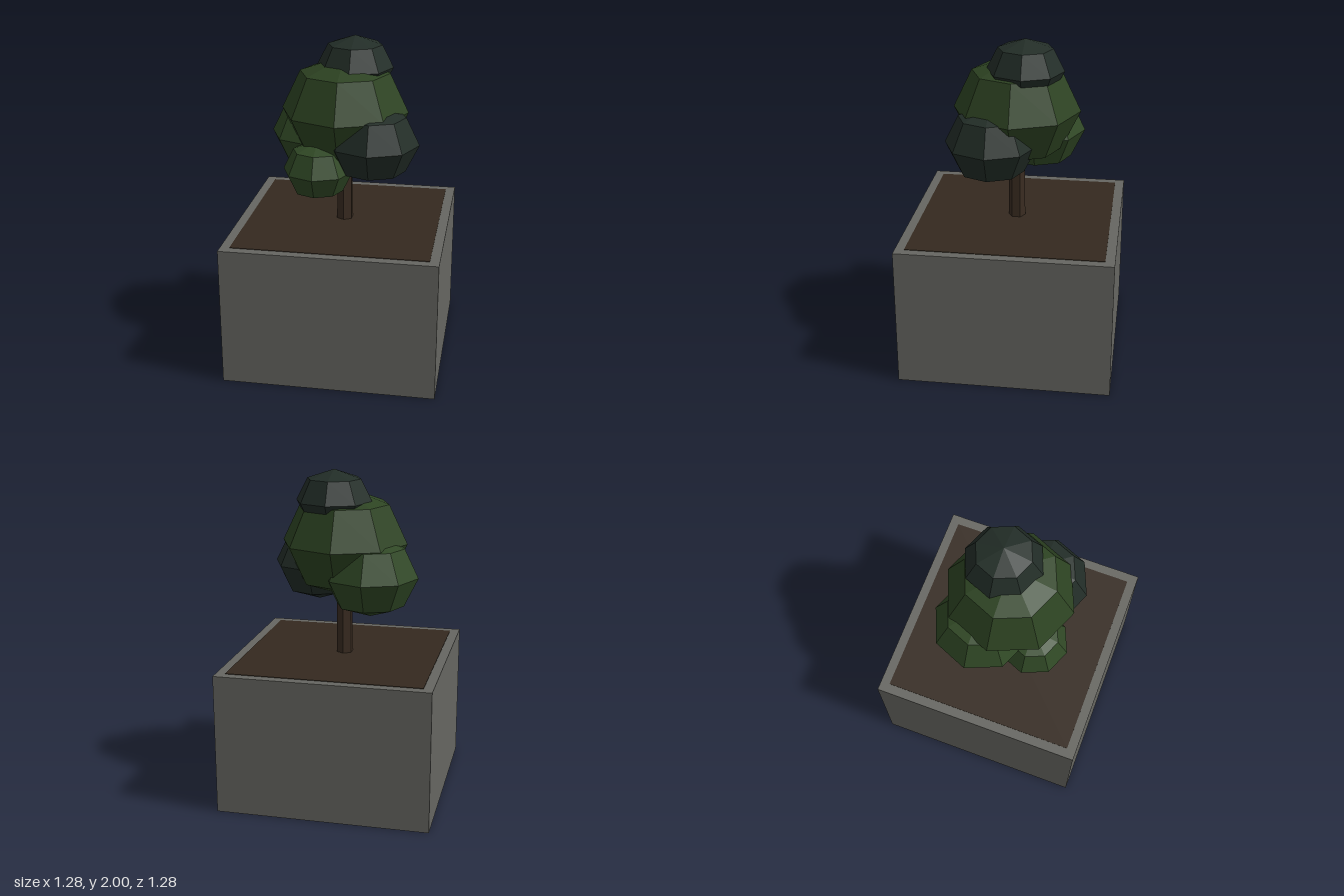
import * as THREE from 'three';

export function createModel() {
  const group = new THREE.Group();
  const mat = (name, color) => {
    const m = new THREE.MeshStandardMaterial({ color, flatShading: true });
    m.name = name;
    return m;
  };
  const concrete = mat('concrete', 0x666661);
  const earth = mat('soil', 0x34291f);
  const bark = mat('bark', 0x3a2c21);
  const leaf = mat('leafGreen', 0x2d4322);
  const lightLeaf = mat('lightLeafGreen', 0x304825);
  const darkLeaf = mat('darkLeafGreen', 0x222d27);

  const add = (name, geometry, material, x, y, z) => {
    const mesh = new THREE.Mesh(geometry, material);
    mesh.name = name;
    mesh.position.set(x, y, z);
    group.add(mesh);
    return mesh;
  };

  // Square planter with a thin soil layer on top
  const top = 0.858;
  add('planter', new THREE.BoxGeometry(1.284, top, 1.284), concrete, 0, top / 2, 0);
  add('soil', new THREE.BoxGeometry(1.17, 0.006, 1.17), earth, 0, top, 0);

  // Six-sided trunk reaching into the crown
  add('trunk', new THREE.CylinderGeometry(0.048, 0.052, 0.6, 6), bark, 0, top + 0.3, 0);

  // Faceted, slightly flattened foliage: name, material, centre, radius, half height
  const clumps = [
    ['mainCrown', leaf, 0, 1.555, 0, 0.385, 0.332],
    ['topClump', darkLeaf, 0.052, 1.812, -0.057, 0.232, 0.188],
    ['leftClump', darkLeaf, 0.19, 1.395, 0.128, 0.278, 0.235],
    ['rightClump', lightLeaf, -0.182, 1.375, -0.11, 0.29, 0.247],
    ['frontClump', lightLeaf, -0.13, 1.232, 0.193, 0.211, 0.178],
  ];
  for (const [name, material, x, y, z, radius, halfHeight] of clumps) {
    const geometry = new THREE.SphereGeometry(1, 8, 4);
    geometry.scale(radius, halfHeight, radius);
    add(name, geometry, material, x, y, z);
  }
  return group;
}
